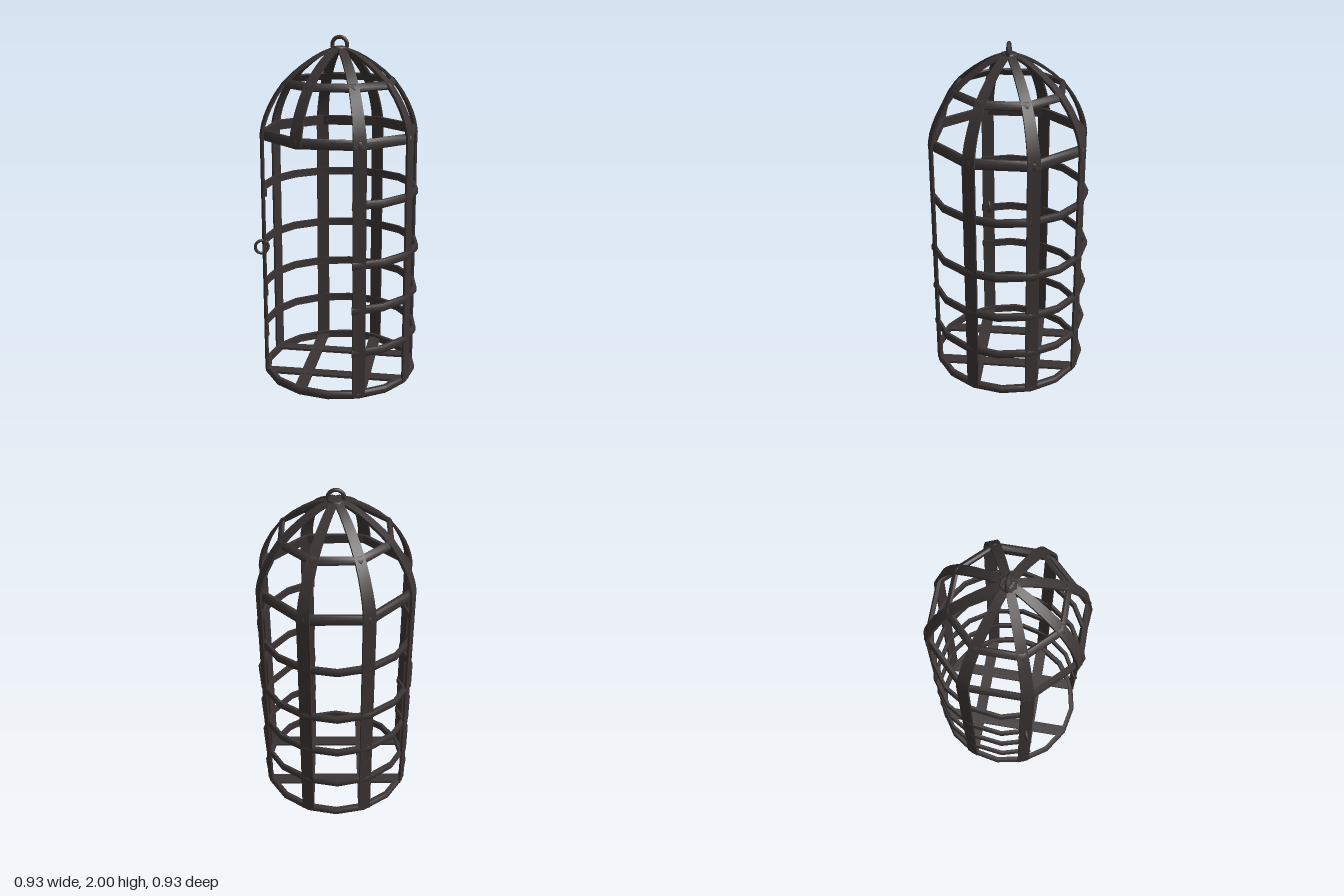
import * as THREE from 'three';
import { toCreasedNormals } from 'three/addons/utils/BufferGeometryUtils.js';

const iron = new THREE.MeshStandardMaterial({ color: 0x3a3333 });
iron.name = 'dark iron';

const STEP = Math.PI / 4;
const TWIST = 0.035; // the cage is turned slightly about its axis
const FRONT = 2; // index of the rib above the open doorway
const R = 0.45;
const ribAngle = (i) => TWIST + i * STEP;

// Skin a list of equal cross-sections, capped at the ends or joined in a loop
function sweep(sections, closed) {
  const n = sections[0].length, m = sections.length, index = [];
  for (let j = 0; j < (closed ? m : m - 1); j++) {
    for (let i = 0; i < n; i++) {
      const k = (i + 1) % n, next = ((j + 1) % m) * n;
      const a = j * n + i, b = j * n + k, c = next + k, d = next + i;
      index.push(a, b, c, a, c, d);
    }
  }
  if (!closed) {
    const e = (m - 1) * n;
    for (let i = 1; i < n - 1; i++) index.push(0, i + 1, i, e, e + i, e + i + 1);
  }
  const geo = new THREE.BufferGeometry();
  geo.setAttribute('position', new THREE.Float32BufferAttribute(sections.flat().flatMap((p) => p.toArray()), 3));
  geo.setIndex(index);
  return toCreasedNormals(geo, 0.7);
}

// Half-round hoop: flat inside, bulging outside, optionally leaning inwards
function hoop({ y, radius = R, height = 0.045, depth = 0.022, start = TWIST, arc = Math.PI * 2, sides = 16, lean = 0 }) {
  const closed = arc > 6.28, h = height / 2;
  const outline = [[-depth / 2, -h], [depth * 0.2, -h], [depth / 2, -h * 0.45], [depth / 2, h * 0.45], [depth * 0.2, h], [-depth / 2, h]];
  const sections = [];
  for (let j = 0; j < sides + (closed ? 0 : 1); j++) {
    const a = start + (arc * j) / sides;
    sections.push(outline.map(([u, v]) => {
      const r = radius + u * Math.cos(lean) - v * Math.sin(lean);
      const py = y + u * Math.sin(lean) + v * Math.cos(lean);
      return new THREE.Vector3(r * Math.cos(a), py, r * Math.sin(a));
    }));
  }
  return sweep(sections, closed);
}

// Flat strap curving from the shoulder to the crown, narrowing upwards
function domeRib() {
  const curve = new THREE.CatmullRomCurve3([
    [0.451, 1.44], [0.44, 1.51], [0.402, 1.61], [0.322, 1.735], [0.2, 1.84], [0.1, 1.9], [0.015, 1.932],
  ].map(([x, y]) => new THREE.Vector3(x, y, 0)));
  const sections = [];
  for (let j = 0; j <= 12; j++) {
    const p = curve.getPoint(j / 12), t = curve.getTangent(j / 12);
    const w = THREE.MathUtils.lerp(0.038, 0.021, j / 12), d = 0.007;
    sections.push([[-w, -d], [w, -d], [w, d], [-w, d]].map(([u, v]) =>
      new THREE.Vector3(p.x + t.y * v, p.y - t.x * v, u)));
  }
  return sweep(sections, false);
}

export function createModel() {
  const cage = new THREE.Group();
  cage.name = 'hangingCage';
  const add = (name, geo, x = 0, y = 0, z = 0, turn = 0) => {
    const mesh = new THREE.Mesh(geo, iron);
    mesh.name = name;
    mesh.position.set(x, y, z);
    mesh.rotation.y = turn;
    cage.add(mesh);
    return mesh;
  };

  // Upright bars, with a gap at the front, and the dome ribs above them
  const barGeo = new THREE.BoxGeometry(0.012, 1.44, 0.074);
  const ribGeo = domeRib();
  for (let i = 0; i < 8; i++) {
    const a = ribAngle(i);
    if (i !== FRONT) add('uprightBar', barGeo, R * Math.cos(a), 0.735, R * Math.sin(a), -a);
    add('domeRib', ribGeo, 0, 0, 0, -a);
  }

  // Hoops around the back, ending at the two bars beside the doorway
  const overlap = 0.09;
  for (const [y, radius] of [[1.13, 0.447], [0.795, 0.455], [0.533, 0.452], [0.28, 0.452]]) {
    add('openHoop', hoop({ y, radius, start: ribAngle(3) - overlap, arc: 6 * STEP + overlap * 2, sides: 12 }));
  }

  // Full hoops: eight-sided on the dome, rounder at the base
  add('shoulderHoop', hoop({ y: 1.457, radius: 0.446, height: 0.057, depth: 0.028, sides: 8, lean: 0.12 }));
  add('domeHoop', hoop({ y: 1.742, radius: 0.318, height: 0.046, depth: 0.02, sides: 8, lean: 0.6 }));
  add('baseHoop', hoop({ y: 0.022, radius: 0.443, height: 0.044, depth: 0.03 }));

  // Crossing floor straps, each joining two bars three steps apart
  for (const [i, j] of [[4, 7], [3, 0], [5, 2], [6, 1]]) {
    const p = new THREE.Vector2(Math.cos(ribAngle(i)), Math.sin(ribAngle(i))).multiplyScalar(0.445);
    const q = new THREE.Vector2(Math.cos(ribAngle(j)), Math.sin(ribAngle(j))).multiplyScalar(0.445);
    const d = q.clone().sub(p);
    add('floorStrap', new THREE.BoxGeometry(d.length() - 0.02, 0.014, 0.07),
      (p.x + q.x) / 2, i < 5 && i > 2 ? 0.022 : 0.02, (p.y + q.y) / 2, -Math.atan2(d.y, d.x));
  }

  // Crown plate and hanging ring
  add('crownPlate', new THREE.CylinderGeometry(0.042, 0.056, 0.022, 8), 0, 1.926, 0);
  add('hangingRing', new THREE.TorusGeometry(0.042, 0.011, 8, 24), 0, 1.947, 0, 0.35);

  // Latch ring on the bar beside the doorway
  const a = ribAngle(3);
  add('latchRing', new THREE.TorusGeometry(0.038, 0.009, 8, 20), 0.465 * Math.cos(a), 0.8, 0.465 * Math.sin(a), -a);

  return cage;
}
